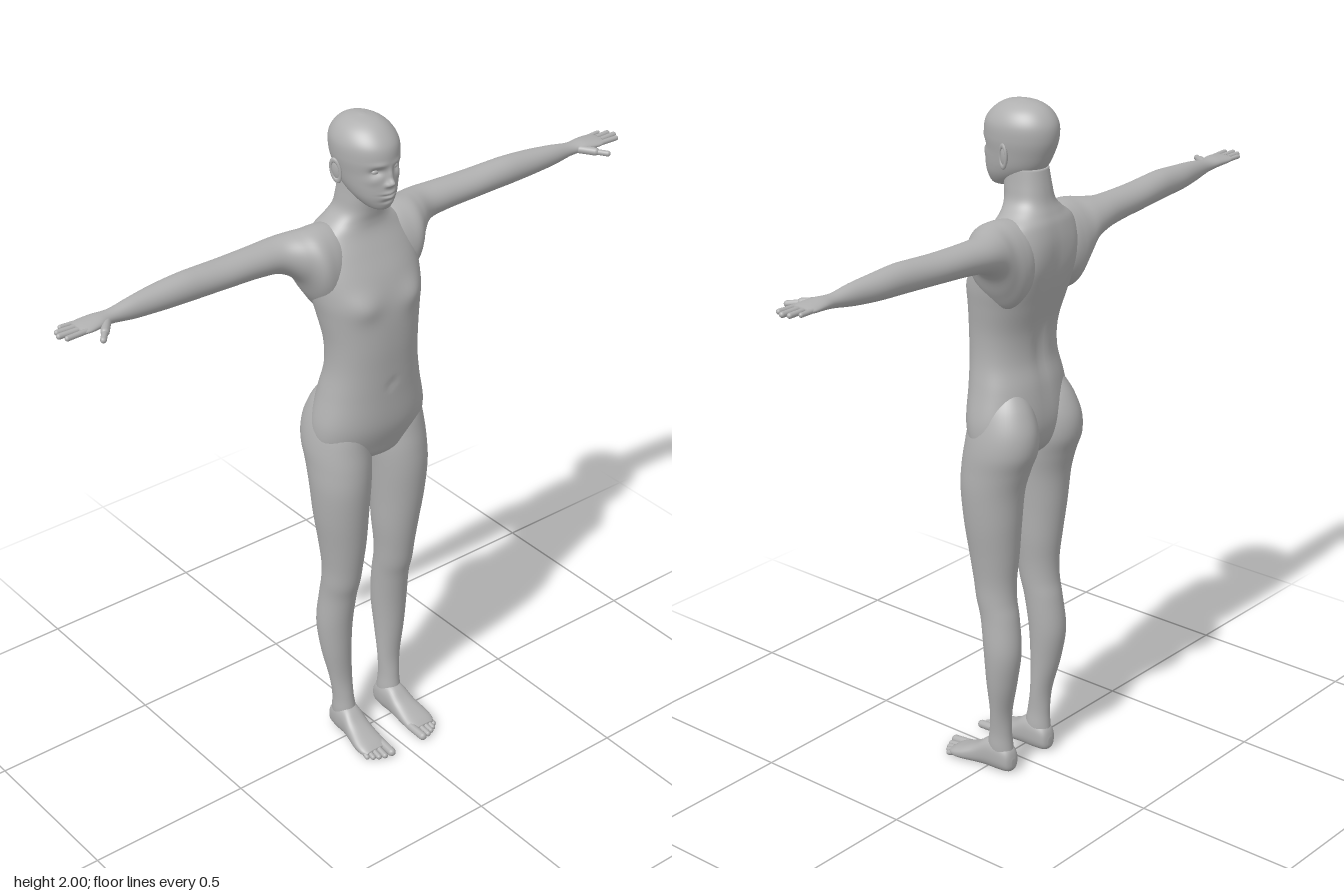
import * as THREE from 'three';

const skin = new THREE.MeshStandardMaterial({ color: 0xb0b0b0 });
skin.name = 'plain grey';

// Smooth closed body through sections [position, centre, half width, low, high].
// axis y: across x, low/high in z; axis x: across z, low/high in y; axis z: across x, low/high in y
const place = {
  y: (p, u, v) => [u, p, v],
  x: (p, u, v) => [p, v, u],
  z: (p, u, v) => [u, v, p],
};
function loft(sections, axis, side = 1, segs = 40, steps = 6, power = 2) {
  const at = (i) => sections[Math.max(0, Math.min(sections.length - 1, i))];
  const rows = [];
  for (let i = 0; i < sections.length - 1; i++) {
    for (let k = 0; k < steps; k++) {
      const t = k / steps;
      rows.push(at(i).map((b, j) => {
        const a = at(i - 1)[j], c = at(i + 1)[j], d = at(i + 2)[j];
        return b + 0.5 * t * (c - a + t * (2 * a - 5 * b + 4 * c - d + t * (3 * (b - c) + d - a)));
      }));
    }
  }
  rows.push(at(sections.length));
  const pos = [], idx = [];
  const put = (p, u, v) => {
    const [x, y, z] = place[axis](p, u, v);
    pos.push(x * side, y, z);
  };
  const flip = (axis === 'z') !== (side < 0);
  const tri = (a, b, c) => (flip ? idx.push(a, c, b) : idx.push(a, b, c));
  const bend = (c) => Math.sign(c) * Math.abs(c) ** (2 / power);
  for (const [p, c, w, lo, hi] of rows) {
    for (let s = 0; s < segs; s++) {
      const a = (s / segs) * Math.PI * 2;
      put(p, c + w * bend(Math.cos(a)), (lo + hi) / 2 + ((hi - lo) / 2) * bend(Math.sin(a)));
    }
  }
  const n = rows.length;
  for (let r = 0; r < n - 1; r++) {
    for (let s = 0; s < segs; s++) {
      const a = r * segs + s, b = r * segs + ((s + 1) % segs);
      tri(a, a + segs, b);
      tri(b, a + segs, b + segs);
    }
  }
  // end caps
  for (const r of [0, n - 1]) {
    const [p, c, , lo, hi] = rows[r], m = pos.length / 3;
    put(p, c, (lo + hi) / 2);
    for (let s = 0; s < segs; s++) {
      const a = r * segs + s, b = r * segs + ((s + 1) % segs);
      r === 0 ? tri(m, a, b) : tri(m, b, a);
    }
  }
  const g = new THREE.BufferGeometry();
  g.setAttribute('position', new THREE.Float32BufferAttribute(pos, 3));
  g.setIndex(idx);
  g.computeVertexNormals();
  return g;
}

// Soft swellings and hollows [x, y, radius x, radius y, depth] on the front (1) or back (-1)
function sculpt(g, face, bumps) {
  const p = g.attributes.position;
  for (let i = 0; i < p.count; i++) {
    const x = p.getX(i), y = p.getY(i), z = p.getZ(i);
    const k = Math.max(0, Math.min(1, ((z + 0.04) * face) / 0.05));
    let d = 0;
    for (const [bx, by, rx, ry, amount] of bumps) {
      d += amount * Math.exp(-(((Math.abs(x) - bx) / rx) ** 2) - ((y - by) / ry) ** 2);
    }
    p.setZ(i, z + d * k * face);
  }
  g.computeVertexNormals();
  return g;
}

export function createModel() {
  const model = new THREE.Group();
  const add = (name, geometry, parent = model) => {
    const mesh = new THREE.Mesh(geometry, skin);
    mesh.name = name;
    parent.add(mesh);
    return mesh;
  };
  // Rounded rod between two points, for fingers and toes
  const digit = (name, parent, side, a, b, r) => {
    const from = new THREE.Vector3(a[0] * side, a[1], a[2]);
    const to = new THREE.Vector3(b[0] * side, b[1], b[2]);
    const dir = to.clone().sub(from);
    const m = add(name, new THREE.CapsuleGeometry(r, dir.length(), 6, 12), parent);
    m.position.copy(from).add(to).multiplyScalar(0.5);
    m.quaternion.setFromUnitVectors(new THREE.Vector3(0, 1, 0), dir.normalize());
  };

  // Torso and neck
  const torso = loft([
    [0.975, 0, 0.02, -0.06, 0], [0.99, 0, 0.09, -0.09, 0.04], [1.03, 0, 0.165, -0.125, 0.057],
    [1.1, 0, 0.178, -0.14, 0.076], [1.2, 0, 0.157, -0.13, 0.08], [1.28, 0, 0.142, -0.112, 0.083],
    [1.36, 0, 0.142, -0.115, 0.086], [1.44, 0, 0.154, -0.138, 0.084], [1.5, 0, 0.165, -0.156, 0.075],
    [1.56, 0, 0.17, -0.168, 0.055], [1.62, 0, 0.165, -0.17, 0.025], [1.67, 0, 0.135, -0.162, 0],
    [1.7, 0, 0.095, -0.15, -0.006], [1.73, 0, 0.067, -0.138, -0.003], [1.77, 0, 0.059, -0.13, 0.002],
    [1.82, 0, 0.055, -0.12, 0.005],
  ], 'y', 1, 64, 6, 2.2);
  sculpt(torso, 1, [[0.085, 1.49, 0.045, 0.04, 0.014], [0, 1.235, 0.012, 0.014, -0.005]]);
  sculpt(torso, -1, [[0, 1.4, 0.022, 0.2, -0.009], [0.085, 1.57, 0.04, 0.07, 0.007]]);
  add('torso', torso);

  // Head with a modelled face
  const head = loft([
    [1.755, 0, 0.015, 0.01, 0.042], [1.764, 0, 0.034, -0.03, 0.056], [1.79, 0, 0.055, -0.08, 0.066],
    [1.82, 0, 0.068, -0.118, 0.069], [1.86, 0, 0.077, -0.14, 0.067], [1.9, 0, 0.084, -0.153, 0.07],
    [1.94, 0, 0.083, -0.152, 0.064], [1.972, 0, 0.066, -0.132, 0.038], [1.992, 0, 0.038, -0.1, 0.004],
    [2, 0, 0.006, -0.055, -0.04],
  ], 'y', 1, 112, 10);
  sculpt(head, 1, [
    [0, 1.844, 0.009, 0.011, 0.019], [0, 1.865, 0.008, 0.016, 0.009], [0.011, 1.838, 0.006, 0.006, 0.008],
    [0.032, 1.875, 0.016, 0.011, -0.013], [0.03, 1.896, 0.02, 0.007, 0.003],
    [0.045, 1.85, 0.015, 0.013, 0.004], [0, 1.813, 0.02, 0.005, 0.006], [0, 1.807, 0.022, 0.0025, -0.005],
    [0, 1.8, 0.017, 0.005, 0.005], [0, 1.787, 0.02, 0.005, -0.005],
  ]);
  add('head', head);

  for (const side of [1, -1]) {
    const word = side > 0 ? 'left' : 'right';
    const group = (name) => {
      const g = new THREE.Group();
      g.name = `${word} ${name}`;
      model.add(g);
      return g;
    };

    // Eye and ear
    const eye = add(`${word} eye`, new THREE.SphereGeometry(0.011, 20, 14));
    eye.scale.set(1.15, 0.7, 0.8);
    eye.position.set(0.031 * side, 1.874, 0.043);
    const ear = group('ear');
    add('ear bowl', new THREE.SphereGeometry(1, 20, 14), ear).scale.set(0.008, 0.03, 0.015);
    const rim = add('ear rim', new THREE.TorusGeometry(0.015, 0.004, 10, 28), ear);
    rim.rotation.y = Math.PI / 2;
    rim.scale.y = 2;
    rim.position.x = 0.004 * side;
    ear.position.set(0.085 * side, 1.86, -0.052);
    ear.rotation.set(-0.15, -0.3 * side, -0.12 * side);

    // Arm and palm, spreading into the shoulder
    const arm = group('arm');
    add('arm and palm', loft([
      [0.06, -0.08, 0.07, 1.48, 1.68], [0.095, -0.08, 0.085, 1.46, 1.695], [0.13, -0.078, 0.091, 1.45, 1.699],
      [0.165, -0.078, 0.088, 1.495, 1.697], [0.2, -0.092, 0.073, 1.555, 1.692], [0.25, -0.108, 0.056, 1.586, 1.686],
      [0.32, -0.108, 0.05, 1.597, 1.684], [0.42, -0.104, 0.048, 1.603, 1.684], [0.5, -0.1, 0.044, 1.606, 1.688],
      [0.56, -0.097, 0.041, 1.608, 1.69], [0.64, -0.095, 0.037, 1.612, 1.685], [0.72, -0.09, 0.028, 1.619, 1.678],
      [0.785, -0.087, 0.022, 1.63, 1.668], [0.83, -0.083, 0.032, 1.636, 1.668], [0.87, -0.081, 0.037, 1.64, 1.664],
      [0.893, -0.081, 0.032, 1.645, 1.66],
    ], 'x', side), arm);
    [[-0.108, -0.111, 0.92, 0.0065], [-0.09, -0.093, 0.941, 0.0075],
      [-0.072, -0.073, 0.947, 0.008], [-0.055, -0.051, 0.936, 0.0075]].forEach(([z0, z1, tip, r], i) =>
      digit(`finger ${i + 1}`, arm, side, [0.865, 1.652, z0], [tip, 1.653, z1], r));
    digit('thumb base', arm, side, [0.805, 1.649, -0.073], [0.838, 1.646, -0.032], 0.012);
    digit('thumb tip', arm, side, [0.836, 1.646, -0.034], [0.861, 1.643, -0.004], 0.0085);

    // Leg, rising into the hip and buttock
    const leg = group('leg');
    add('leg', loft([
      [0.04, 0.085, 0.03, -0.083, 0], [0.08, 0.086, 0.033, -0.078, 0.002], [0.13, 0.088, 0.031, -0.074, -0.006],
      [0.2, 0.092, 0.036, -0.077, -0.014], [0.3, 0.1, 0.046, -0.1, -0.01], [0.4, 0.102, 0.053, -0.115, -0.003],
      [0.5, 0.098, 0.053, -0.105, 0.012], [0.56, 0.097, 0.055, -0.094, 0.028], [0.62, 0.096, 0.058, -0.092, 0.038],
      [0.7, 0.097, 0.067, -0.1, 0.05], [0.8, 0.102, 0.077, -0.11, 0.062], [0.9, 0.103, 0.085, -0.12, 0.07],
      [0.97, 0.1, 0.089, -0.14, 0.068], [1.03, 0.098, 0.09, -0.163, 0.06], [1.09, 0.095, 0.083, -0.164, 0.05],
      [1.15, 0.09, 0.068, -0.142, 0.03], [1.2, 0.085, 0.045, -0.11, 0],
    ], 'y', side), leg);

    // Foot and toes
    add('foot', loft([
      [-0.088, 0.085, 0.01, 0.018, 0.045], [-0.077, 0.085, 0.027, 0.004, 0.075], [-0.04, 0.085, 0.036, 0, 0.1],
      [0, 0.086, 0.037, 0, 0.094], [0.04, 0.089, 0.041, 0, 0.065], [0.08, 0.092, 0.046, 0, 0.045],
      [0.11, 0.092, 0.045, 0.001, 0.033], [0.128, 0.091, 0.036, 0.006, 0.023],
    ], 'z', side, 40, 6, 2.4), leg);
    [[0.06, 0.159, 0.0125], [0.083, 0.156, 0.009], [0.1, 0.149, 0.0085],
      [0.115, 0.14, 0.008], [0.128, 0.128, 0.0075]].forEach(([x, tip, r], i) =>
      digit(`toe ${i + 1}`, leg, side, [x - 0.002, 0.018, 0.1], [x, r + 0.001, tip], r));
  }
  return model;
}
